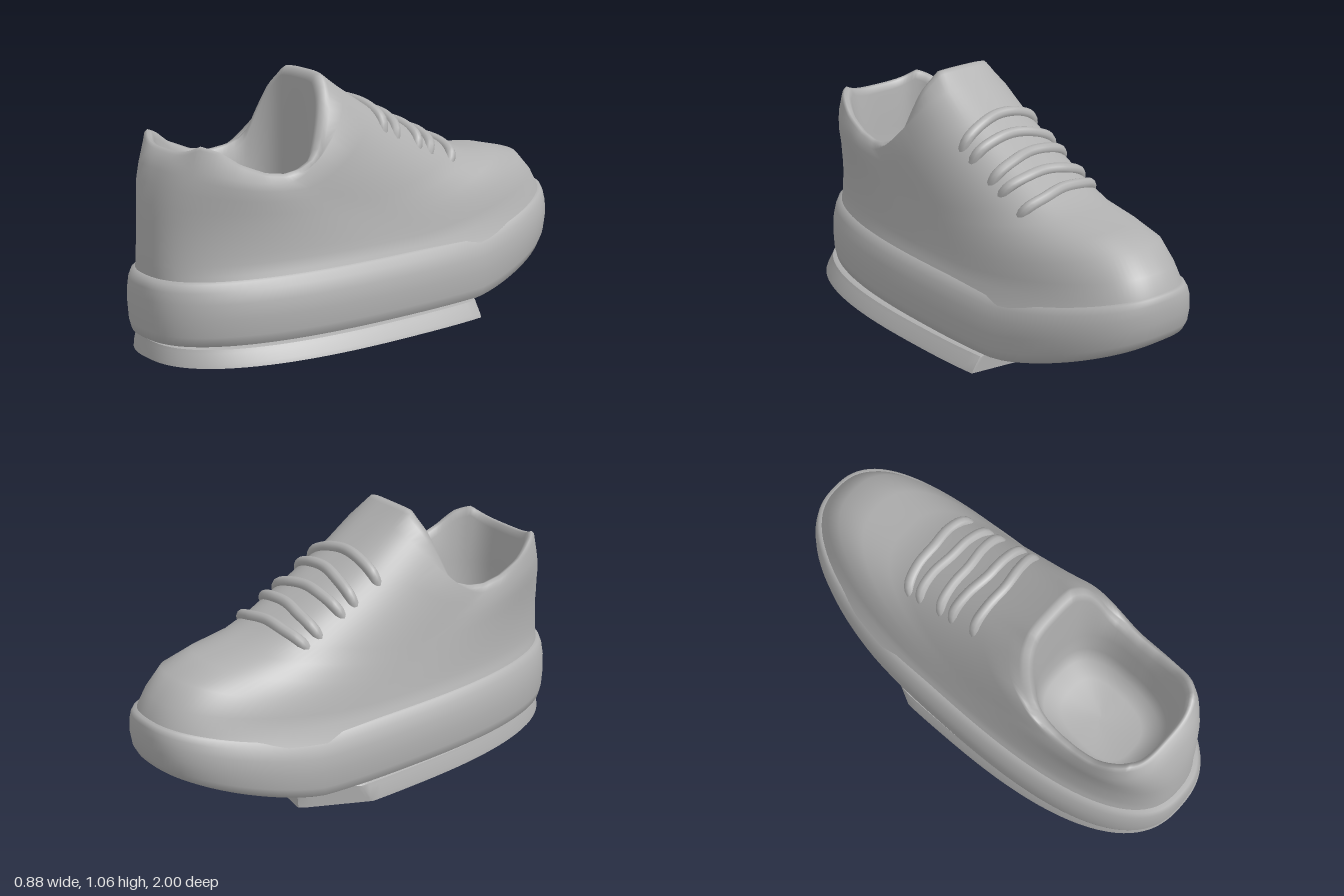
import * as THREE from 'three';
import { toCreasedNormals } from 'three/addons/utils/BufferGeometryUtils.js';

const SEG = 120;
const SKEW = 0.03; // the heel sits slightly to one side of the toe

// Rounded outline from zf (toe) to zb (heel); height(x, z, u) with u = 0 at toe, 1 at heel
function ring(zf, zb, hw, n, cx, height, clip) {
  const pts = [], mid = (zf + zb) / 2, half = (zb - zf) / 2;
  for (let i = 0; i < SEG; i++) {
    const a = (i / SEG) * Math.PI * 2, c = Math.cos(a), s = Math.sin(a);
    const r = Math.pow(Math.abs(c) ** n + Math.abs(s) ** n, -1 / n);
    const u = (1 + s * r) / 2;
    const x = cx + hw * c * r - (clip ? 0 : SKEW * u);
    let z = mid + half * s * r;
    if (clip) z = Math.max(z, clip(x));
    pts.push(x, height(x, z, u), z);
  }
  return pts;
}

// Skin a stack of rings, running from the underside outwards and up
function loft(rings) {
  const index = [];
  for (let k = 0; k < rings.length - 1; k++) {
    for (let i = 0; i < SEG; i++) {
      const a = k * SEG + i, b = k * SEG + (i + 1) % SEG, c = a + SEG, d = b + SEG;
      index.push(a, c, b, b, c, d);
    }
  }
  const g = new THREE.BufferGeometry();
  g.setAttribute('position', new THREE.Float32BufferAttribute(rings.flat(), 3));
  g.setIndex(index);
  g.computeVertexNormals();
  return g;
}

// Interpolate rows of numbers keyed by their first entry
function sample(rows, t) {
  let i = 1;
  while (i < rows.length - 1 && t > rows[i][0]) i++;
  const a = rows[i - 1], b = rows[i];
  const f = THREE.MathUtils.clamp((t - a[0]) / (b[0] - a[0]), 0, 1);
  return a.map((v, k) => v + (b[k] - v) * f);
}

// Toe spring: 0 under the foot, 1 at the tip of the toe
const spring = z => (z < -0.4 ? Math.pow((-0.4 - z) / 0.6, 1.3) : 0);

// Height of the collar edge from tongue tip to heel
const RIM = [[0, 1.065], [0.01, 1.06], [0.025, 1.025], [0.055, 0.98], [0.1, 0.9], [0.14, 0.835],
  [0.17, 0.79], [0.22, 0.755], [0.32, 0.73], [0.44, 0.72], [0.575, 0.735], [0.74, 0.78],
  [0.86, 0.835], [0.945, 0.857], [1, 0.82]];

// Outer wall: zf, front height, side height, zb, heel height, half width, squareness
const LEVELS = [
  [-0.985, 0.4, 0.28, 0.968, 0.29, 0.38, 2.5], [-0.972, 0.45, 0.345, 0.969, 0.35, 0.35, 2.5],
  [-0.935, 0.515, 0.385, 0.968, 0.39, 0.34, 2.5], [-0.86, 0.595, 0.42, 0.966, 0.43, 0.333, 2.5],
  [-0.72, 0.63, 0.47, 0.963, 0.5, 0.323, 2.5], [-0.56, 0.645, 0.52, 0.957, 0.56, 0.315, 2.6],
  [-0.44, 0.685, 0.56, 0.95, 0.62, 0.309, 2.7], [-0.2, 0.805, 0.61, 0.935, 0.69, 0.303, 2.9],
  [0, 0.915, 0.655, 0.915, 0.75, 0.298, 3], [0.14, 1.008, 0.69, 0.895, 0.79, 0.29, 3.2]];
const CX = -0.006;
const wallHeight = ([, yf, ys, , yb], u) => (u < 0.45
  ? ys + (yf - ys) * Math.pow(1 - Math.max(0, u) / 0.45, 1.5)
  : ys + (yb - ys) * ((u - 0.45) / 0.55) ** 2);

// Point on the front of the outer wall, dx from its centre line
function onVamp(zf, dx) {
  const level = sample(LEVELS, zf), [, , , zb, , hw, n] = level;
  const u = (1 - Math.pow(1 - Math.abs(dx / hw) ** n, 1 / n)) / 2;
  return new THREE.Vector3(CX + dx - SKEW * u, wallHeight(level, u), zf + (zb - zf) * u);
}

export function createModel() {
  const shoe = new THREE.Group();
  shoe.name = 'shoe';
  const grey = new THREE.MeshStandardMaterial({ color: 0xb0b0b0 });
  grey.name = 'plain grey';
  const add = (name, geometry, parent = shoe) => {
    const mesh = new THREE.Mesh(geometry, grey);
    mesh.name = name;
    parent.add(mesh);
  };

  // Outsole: flared slab with a slanted cut under the ball of the foot, tilted a touch sideways
  const cut = x => (x > -0.3 ? -0.47 + (x + 0.3) * 0.15 : -0.47 + (-0.3 - x) * 2);
  const slab = [[0.001, 0], [0.5, 0], [1, 0], [0.99, 0.018], [0.945, 0.06], [0.93, 0.075],
    [0.9, 0.08], [0.5, 0.08], [0.001, 0.08]];
  add('outsole', toCreasedNormals(loft(slab.map(([s, y]) => {
    const len = s > 0.8 ? 0.99 - (1 - s) * 0.2 : s;
    return ring(-len, len, 0.44 * s, 2.5, -0.15 * y,
      x => y + (0.08 - y) * (0.08 + 0.18 * x), cut);
  })), 0.6));

  // Midsole: thick rounded wall rising and thinning at the toe
  const wall = [ // zf, zb, half width, lift above the underside
    [-0.001, 0.001, 0.001, 0], [-0.3, 0.3, 0.12, 0], [-0.55, 0.55, 0.23, 0], [-0.8, 0.8, 0.33, 0],
    [-0.94, 0.96, 0.38, 0], [-0.97, 0.985, 0.4, 0.012], [-0.99, 0.995, 0.408, 0.05],
    [-1, 1, 0.41, 0.12], [-1, 1, 0.403, 0.18], [-0.996, 0.997, 0.385, 0.225], [-0.988, 0.988, 0.366, 0.255],
    [-0.96, 0.96, 0.338, 0.268], [-0.5, 0.5, 0.2, 0.26], [-0.001, 0.001, 0.001, 0.26]];
  add('midsole', loft(wall.map(([zf, zb, hw, lift]) => ring(zf, zb, hw, 2.5, -0.005,
    (x, z) => 0.07 + 0.18 * spring(z) + lift * (1 - 0.22 * spring(z))))));

  // Upper: outer wall, rolled collar and lining in one skin
  const skin = LEVELS.map(level => {
    const [zf, , , zb, , hw, n] = level;
    return ring(zf, zb, hw, n, CX, (x, z, u) => wallHeight(level, u));
  });
  const collar = [[0.205, 0.873, 0.279, -0.012], [0.22, 0.862, 0.269, 0], [0.243, 0.85, 0.252, -0.006],
    [0.258, 0.84, 0.238, -0.035]];
  for (const [zf, zb, hw, dy] of collar) {
    skin.push(ring(zf, zb, hw, 3.3, -0.01, (x, z, u) => sample(RIM, u)[1] + dy));
  }
  const lining = [[0.262, 0.825, 0.222, 0.62], [0.265, 0.812, 0.21, 0.48], [0.29, 0.79, 0.188, 0.41],
    [0.36, 0.72, 0.13, 0.38], [0.534, 0.536, 0.001, 0.375]];
  for (const [zf, zb, hw, y] of lining) skin.push(ring(zf, zb, hw, 2.8, -0.015, () => y));
  add('upper', loft(skin));

  // Laces: soft rows over the tongue, ends tucked into the upper
  const laces = new THREE.Group();
  laces.name = 'laces';
  shoe.add(laces);
  for (let row = 0; row < 5; row++) {
    const z0 = -0.4 + row * 0.098, lean = row % 2 ? 0.07 : -0.07;
    const pts = [-0.23, -0.18, -0.1, 0, 0.1, 0.18, 0.23].map(dx => {
      const p = onVamp(z0 + lean * dx - 1.5 * dx * dx, dx);
      if (Math.abs(dx) > 0.2) {
        p.x -= Math.sign(dx) * 0.03;
        p.y -= 0.045;
      }
      return p;
    });
    add('lace', new THREE.TubeGeometry(new THREE.CatmullRomCurve3(pts), 32, 0.024, 10), laces);
  }
  return shoe;
}
